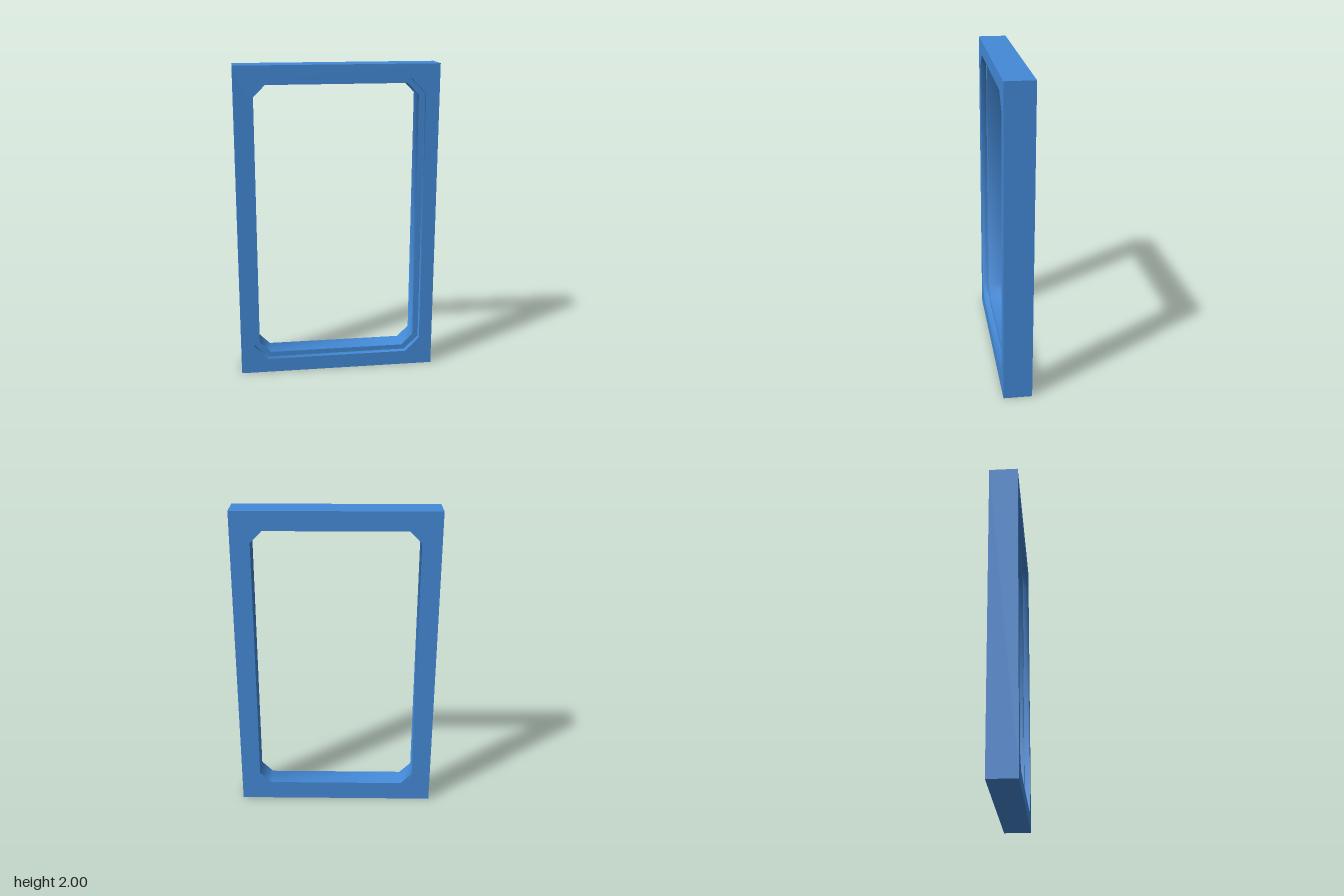
import * as THREE from 'three';
import { toCreasedNormals } from 'three/addons/utils/BufferGeometryUtils.js';

// Eight-cornered loop, counter-clockwise from the front: a rectangle with cut corners
function ring(halfWidth, bottom, top, cut, z) {
  const w = halfWidth, c = cut;
  return [
    [-w + c, bottom], [w - c, bottom], [w, bottom + c], [w, top - c],
    [w - c, top], [-w + c, top], [-w, top - c], [-w, bottom + c],
  ].map(([x, y]) => new THREE.Vector3(x, y, z));
}

// Joins each ring to the next, and the last back to the first, skipping empty triangles
function skinRings(rings) {
  const points = [];
  const addTriangle = (a, b, c) => {
    if (new THREE.Triangle(a, b, c).getArea() > 1e-8) points.push(a, b, c);
  };
  rings.forEach((a, r) => {
    const b = rings[(r + 1) % rings.length];
    for (let i = 0; i < a.length; i++) {
      const j = (i + 1) % a.length;
      addTriangle(a[i], a[j], b[j]);
      addTriangle(a[i], b[j], b[i]);
    }
  });
  const geometry = new THREE.BufferGeometry().setFromPoints(points);
  // smooth across the 45 degree corner cuts, sharp on the square edges
  return toCreasedNormals(geometry, 0.9);
}

export function createModel() {
  const group = new THREE.Group();
  group.name = 'windowFrame';

  const front = 0.09, ledge = 0.052, back = -0.09;
  const frame = new THREE.Mesh(
    skinRings([
      ring(0.635, 0, 2, 0, front),             // outer front edge
      ring(0.55, 0.093, 1.91, 0.092, front),   // mouth of the rebate
      ring(0.55, 0.093, 1.91, 0.092, ledge),   // foot of the rebate
      ring(0.513, 0.124, 1.879, 0.073, ledge), // opening, front edge
      ring(0.513, 0.124, 1.879, 0.073, back),  // opening, back edge
      ring(0.635, 0, 2, 0, back),              // outer back edge
    ]),
    new THREE.MeshStandardMaterial({ color: 0x448ad8 })
  );
  frame.name = 'frame';
  group.add(frame);
  return group;
}
